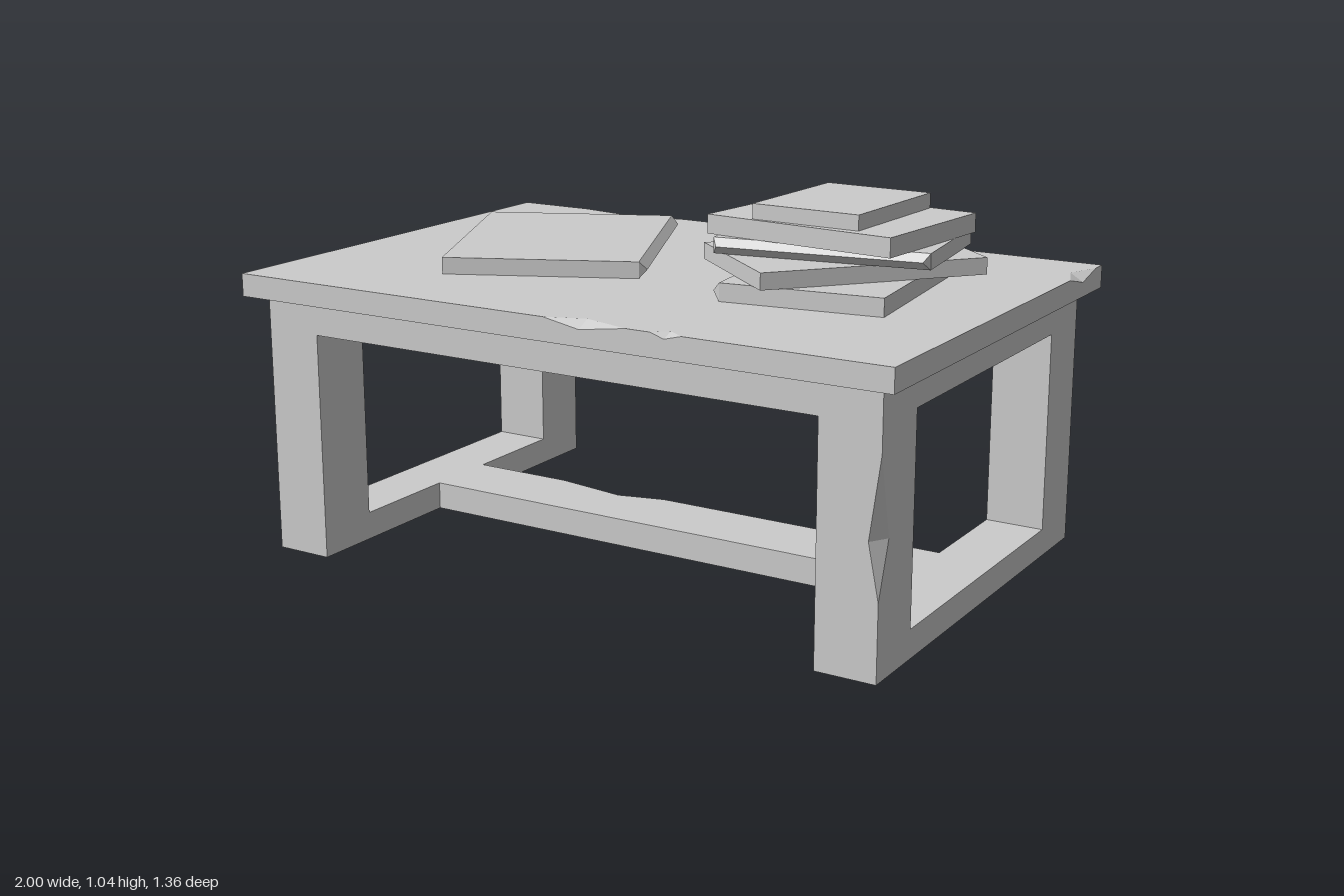
import * as THREE from 'three';
import { ConvexGeometry } from 'three/addons/geometries/ConvexGeometry.js';

const material = new THREE.MeshStandardMaterial({ color: 0xcccccc, flatShading: true });

function add(parent, name, geometry) {
  const mesh = new THREE.Mesh(geometry, material);
  mesh.name = name;
  parent.add(mesh);
  return mesh;
}

function box(parent, name, lo, hi) {
  const size = hi.map((v, i) => v - lo[i]);
  const mesh = add(parent, name, new THREE.BoxGeometry(...size));
  mesh.position.set(...hi.map((v, i) => (v + lo[i]) / 2));
  return mesh;
}

// Box with wedges broken out of its edges. A chip runs along an edge from a to b
// and bites into the two neighbouring faces as far as the points p and q.
function chippedBox(lo, hi, chips) {
  const near = (u, v) => Math.abs(u - v) < 1e-6;
  const positions = [];
  for (let axis = 0; axis < 3; axis++) {
    const u = (axis + 1) % 3, v = (axis + 2) % 3;
    for (const side of [lo, hi]) {
      const plane = side[axis];
      const corners = [[lo, lo], [hi, lo], [hi, hi], [lo, hi]].map(([cu, cv]) => {
        const c = [0, 0, 0];
        c[axis] = plane; c[u] = cu[u]; c[v] = cv[v];
        return c;
      });
      const outline = [];
      corners.forEach((c, i) => {
        const next = corners[(i + 1) % 4];
        const run = i % 2 ? v : u, fixed = i % 2 ? u : v;
        const dir = Math.sign(next[run] - c[run]);
        outline.push(c);
        chips
          .filter(({ a, b }) => [a, b].every(e => near(e[axis], plane) && near(e[fixed], c[fixed])))
          .map(({ a, b, p, q }) => {
            const apex = near(p[axis], plane) ? p : q;
            return (b[run] - a[run]) * dir > 0 ? [a, apex, b] : [b, apex, a];
          })
          .sort((s, t) => (s[0][run] - t[0][run]) * dir)
          .forEach(points => outline.push(...points));
      });
      const flat = outline.map(c => new THREE.Vector2(c[u], c[v]));
      for (const tri of THREE.ShapeUtils.triangulateShape(flat, [])) {
        const order = side === hi ? tri : [...tri].reverse();
        order.forEach(k => positions.push(...outline[k]));
      }
    }
  }
  // broken surfaces, turned to face away from the middle of the box
  const centre = new THREE.Vector3(...lo).add(new THREE.Vector3(...hi)).multiplyScalar(0.5);
  for (const { a, b, p, q } of chips) {
    const edge = new THREE.Vector3(...a).lerp(new THREE.Vector3(...b), 0.5);
    const out = edge.clone().sub(centre);
    const along = new THREE.Vector3(...b).sub(new THREE.Vector3(...a)).normalize();
    out.addScaledVector(along, -out.dot(along));
    for (const tri of [[a, p, q], [b, p, q]]) {
      const [A, B, C] = tri.map(t => new THREE.Vector3(...t));
      const normal = B.sub(A).cross(C.sub(A));
      positions.push(...(normal.dot(out) > 0 ? tri : [tri[0], tri[2], tri[1]]).flat());
    }
  }
  const geometry = new THREE.BufferGeometry();
  geometry.setAttribute('position', new THREE.Float32BufferAttribute(positions, 3));
  geometry.computeVertexNormals();
  return geometry;
}

// Book from its four plan corners [x, z]; the first two can carry a ridged spine.
function book(parent, name, y0, y1, plan, spine) {
  const [a, b, c, d] = plan.map(([x, z]) => new THREE.Vector3(x, 0, z));
  const at = (p, y) => p.clone().setY(y);
  const points = [];
  const toward = (p, q, amount) => p.clone().addScaledVector(q.clone().sub(p).normalize(), amount);
  const inset = spine ? 0.022 : 0;
  for (const y of [y0, y1]) {
    points.push(at(toward(a, d, inset), y), at(toward(b, c, inset), y), at(c, y), at(d, y));
  }
  if (spine) {
    const mid = (y0 + y1) / 2;
    points.push(at(toward(a, b, 0.015), mid), at(toward(b, a, 0.015), mid));
  }
  add(parent, name, new ConvexGeometry(points));
}

export function createModel() {
  const model = new THREE.Group();
  model.name = 'tableWithBooks';

  // table top with worn edges
  const top = 0.81;
  add(model, 'tableTop', chippedBox([-1, 0.745, -0.68], [1, top, 0.68], [
    { a: [0.02, top, 0.68], b: [0.27, top, 0.68], p: [0.13, top, 0.64], q: [0.13, 0.79, 0.68] },
    { a: [0.34, top, 0.68], b: [0.43, top, 0.68], p: [0.38, top, 0.645], q: [0.38, 0.797, 0.68] },
    { a: [-0.76, top, -0.68], b: [-0.4, top, -0.68], p: [-0.54, top, -0.645], q: [-0.54, 0.79, -0.68] },
    { a: [1, top, -0.63], b: [1, top, -0.43], p: [0.963, top, -0.53], q: [1, 0.787, -0.53] },
  ]));
  box(model, 'apron', [-0.95, 0.65, -0.63], [0.95, 0.745, 0.63]);

  // legs; the front left one has a notch in its outer corner
  for (const sx of [-1, 1]) {
    for (const sz of [-1, 1]) {
      const chips = sx > 0 && sz > 0
        ? [{ a: [0.95, 0.21, 0.63], b: [0.95, 0.58, 0.63], p: [0.92, 0.36, 0.63], q: [0.95, 0.36, 0.58] }]
        : [];
      const xs = [0.78 * sx, 0.95 * sx].sort((m, n) => m - n);
      const zs = [0.44 * sz, 0.63 * sz].sort((m, n) => m - n);
      const name = (sz > 0 ? 'front' : 'back') + (sx > 0 ? 'Left' : 'Right') + 'Leg';
      add(model, name, chippedBox([xs[0], 0, zs[0]], [xs[1], 0.65, zs[1]], chips));
    }
    const rail = box(model, sx > 0 ? 'leftFootRail' : 'rightFootRail', [-0.085, 0, -0.44], [0.085, 0.08, 0.44]);
    rail.position.x = 0.865 * sx;
  }

  // long stretcher between the foot rails
  add(model, 'stretcher', chippedBox([-0.78, 0, -0.11], [0.78, 0.08, 0.11], [
    { a: [-0.47, 0.08, -0.11], b: [-0.11, 0.08, -0.11], p: [-0.25, 0.08, -0.075], q: [-0.25, 0.06, -0.11] },
  ]));

  // single book
  book(model, 'singleBook', top, 0.857,
    [[-0.3, -0.505], [0, 0.155], [-0.52, 0.395], [-0.835, -0.26]], true);

  // stack of books, bottom to top
  const stack = new THREE.Group();
  stack.name = 'bookStack';
  model.add(stack);
  const levels = [
    [top, 0.86, [[0.205, -0.38], [0.29, 0.3], [0.76, 0.24], [0.68, -0.435]], true],
    [0.86, 0.906, [[0.1, 0.03], [0.51, -0.465], [0.865, -0.165], [0.45, 0.325]], true],
    [0.906, 0.95, [[0.22, 0.185], [0.81, 0.09], [0.75, -0.32], [0.155, -0.23]], true],
    [0.95, 1.003, [[0.23, -0.315], [0.785, -0.265], [0.745, 0.182], [0.177, 0.128]], false],
    [1.003, 1.045, [[0.33, -0.28], [0.648, -0.27], [0.635, 0.142], [0.317, 0.132]], false],
  ];
  levels.forEach(([y0, y1, plan, spine], i) => book(stack, `stackedBook${i + 1}`, y0, y1, plan, spine));

  return model;
}
